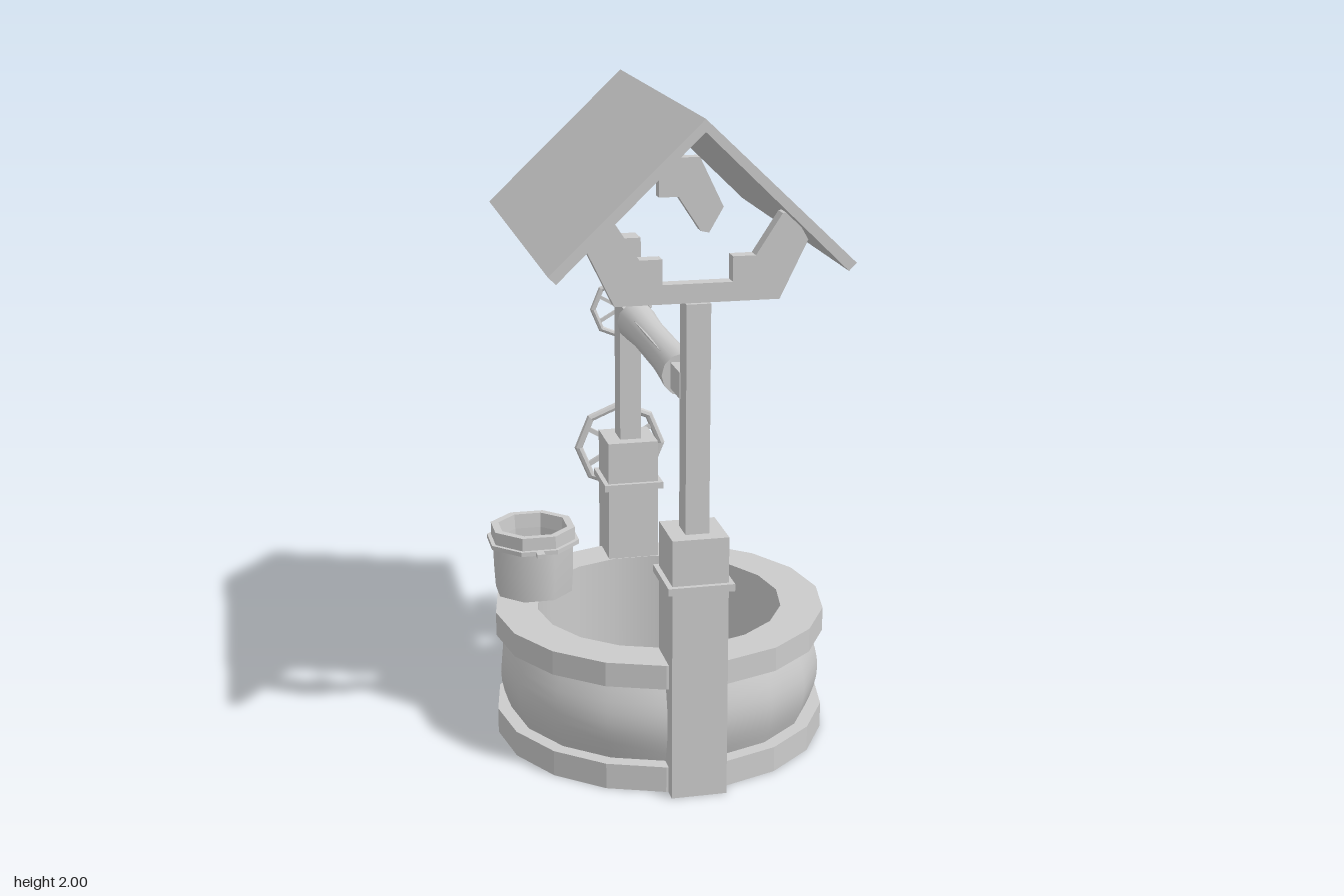
import * as THREE from 'three';

const smooth = new THREE.MeshStandardMaterial({ color: 0xcccccc, side: THREE.DoubleSide });
const flat = new THREE.MeshStandardMaterial({ color: 0xcccccc, side: THREE.DoubleSide, flatShading: true });

function add(parent, name, geometry, material = flat, x = 0, y = 0, z = 0) {
  const mesh = new THREE.Mesh(geometry, material);
  mesh.name = name;
  mesh.position.set(x, y, z);
  parent.add(mesh);
  return mesh;
}

// Box given by its x half-width and its y and z ranges
function block(parent, name, hx, y0, y1, z0, z1) {
  return add(parent, name, new THREE.BoxGeometry(2 * hx, y1 - y0, z1 - z0), flat, 0, (y0 + y1) / 2, (z0 + z1) / 2);
}

const lathe = (pts, sides, start = Math.PI / 2) =>
  new THREE.LatheGeometry(pts.map(([r, y]) => new THREE.Vector2(r, y)), sides, start);

// Extrude an outline (mirrored in x) along z
function mirroredPrism(half, z0, z1) {
  const pts = [...half, ...half.map(([x, y]) => [-x, y]).reverse()];
  const shape = new THREE.Shape(pts.map(([x, y]) => new THREE.Vector2(x, y)));
  return new THREE.ExtrudeGeometry(shape, { depth: z1 - z0, bevelEnabled: false }).translate(0, 0, z0);
}

// Eight-sided wheel with six spokes and a hub, facing z
function wheel(name, radius, tube, y, z, hubFront, hubBack, hubRadius) {
  const g = new THREE.Group();
  g.name = name;
  g.position.set(0, y, z);
  add(g, 'wheelRim', new THREE.TorusGeometry(radius - tube, tube, 8, 8));
  for (let i = 0; i < 6; i++) {
    const a = Math.PI / 6 + (i * Math.PI) / 3;
    const len = radius - 2 * tube;
    const spoke = add(g, 'spoke', new THREE.BoxGeometry(len, tube * 1.1, tube * 0.9), flat,
      (Math.cos(a) * len) / 2, (Math.sin(a) * len) / 2, 0);
    spoke.rotation.z = a;
  }
  const hub = new THREE.CylinderGeometry(hubRadius, hubRadius, hubFront - hubBack, 8).rotateX(Math.PI / 2);
  add(g, 'hub', hub, smooth, 0, 0, (hubFront + hubBack) / 2 - z);
  return g;
}

export function createModel() {
  const model = new THREE.Group();
  model.name = 'well';

  // Round basin: two rings, a bulging wall, the shaft lining and the floor
  const basin = new THREE.Group();
  basin.name = 'basin';
  basin.position.z = 0.112;
  model.add(basin);
  add(basin, 'bottomRing', lathe([[0.48, 0], [0.517, 0], [0.517, 0.08], [0.46, 0.08], [0.48, 0.065], [0.48, 0]], 18));
  add(basin, 'topRing', lathe([[0.385, 0.33], [0.517, 0.33], [0.517, 0.405], [0.385, 0.405]], 18));
  const bulge = [];
  for (let i = 0; i <= 8; i++) bulge.push([0.472 + 0.033 * Math.sin((i / 8) * Math.PI), 0.075 + (0.26 * i) / 8]);
  add(basin, 'wall', lathe(bulge, 18), smooth);
  add(basin, 'lining', lathe([[0.385, 0.405], [0.385, 0]], 18), smooth);
  add(basin, 'floor', lathe([[0, 0.002], [0.385, 0.002]], 18), flat);

  // Pillars with a band and a slim post, front and back
  for (const [name, z0, z1, p0, p1] of [
    ['front', 0.49, 0.665, 0.54, 0.62],
    ['back', -0.44, -0.27, -0.398, -0.312],
  ]) {
    block(model, name + 'Pillar', 0.083, 0, 0.805, z0, z1);
    block(model, name + 'Band', 0.098, 0.645, 0.667, z0 - 0.015, z1 + 0.015);
    block(model, name + 'Post', 0.035, 0.8, 1.48, p0, p1);
  }

  // Winding roller on a square axle
  block(model, 'axle', 0.038, 1.19, 1.267, -0.32, 0.55);
  const roller = [[0, -0.3225]];
  for (let i = 0; i <= 10; i++) {
    const t = i / 5 - 1;
    roller.push([0.052 + 0.012 * t * t, t * 0.3225]);
  }
  roller.push([0, 0.3225]);
  const rollerGeo = lathe(roller.slice(1, -1), 12).rotateX(Math.PI / 2);
  add(model, 'roller', rollerGeo, smooth, 0, 1.228, 0.1125);
  for (const z of [-0.21, 0.435]) {
    add(model, 'rollerEnd', new THREE.CircleGeometry(0.064, 12), flat, 0, 1.228, z);
  }

  // Roof brackets: the front one opens upward, the back one is upside down
  const bracket = [[0.235, 1.48], [0.315, 1.645], [0.267, 1.728], [0.24, 1.722], [0.165, 1.607], [0.1, 1.607], [0.1, 1.535]];
  add(model, 'frontBracket', mirroredPrism(bracket, 0.56, 0.605));
  const turned = bracket.map(([x, y]) => [x, 3.21 - y]);
  add(model, 'backBracket', mirroredPrism(turned, -0.38, -0.335));

  // Gabled roof
  const slope = [[0, 2], [0.432, 1.59], [0.41, 1.568], [0, 1.965]];
  for (const side of [1, -1]) {
    const shape = new THREE.Shape(slope.map(([x, y]) => new THREE.Vector2(side * x, y)));
    const panel = new THREE.ExtrudeGeometry(shape, { depth: 1.14, bevelEnabled: false });
    add(model, side > 0 ? 'leftRoof' : 'rightRoof', panel, flat, 0, 0, -0.456);
  }

  // Wheels and the crank on the back
  model.add(wheel('smallWheel', 0.105, 0.01, 1.215, -0.462, -0.395, -0.5, 0.011));
  const bigWheel = wheel('bigWheel', 0.156, 0.014, 0.73, -0.495, -0.43, -0.55, 0.014);
  model.add(bigWheel);
  const crank = new THREE.CurvePath();
  const path = [[0.73, -0.5], [0.73, -0.575], [0.715, -0.6], [0.665, -0.605], [0.642, -0.63], [0.64, -0.683]];
  const curve = new THREE.CatmullRomCurve3(path.map(([y, z]) => new THREE.Vector3(0, y, z)), false, 'centripetal');
  add(model, 'crank', new THREE.TubeGeometry(curve, 24, 0.008, 8), smooth);

  // Bucket standing on the rim
  const bucket = new THREE.Group();
  bucket.name = 'bucket';
  bucket.position.set(-0.37, 0.405, -0.065);
  model.add(bucket);
  const turn = Math.PI / 8;
  add(bucket, 'bucketBody', lathe([[0.125, 0], [0.13, 0.08], [0.13, 0.17]], 8, turn), smooth);
  add(bucket, 'bucketRim', lathe([[0.13, 0.17], [0.137, 0.175], [0.137, 0.217], [0.112, 0.217], [0.108, 0.17]], 8, turn));
  add(bucket, 'bucketInside', lathe([[0.108, 0.17], [0.105, 0.02], [0, 0.02]], 8, turn));
  add(bucket, 'bucketBase', lathe([[0, 0.002], [0.125, 0.002]], 8, turn));
  add(bucket, 'bucketHoop', lathe([[0.13, 0.162], [0.15, 0.162], [0.15, 0.176], [0.13, 0.176]], 8, turn));
  for (const s of [1, -1]) {
    add(bucket, 'handlePeg', new THREE.BoxGeometry(0.025, 0.014, 0.04), flat, 0, 0.169, s * 0.148);
  }
  return model;
}
